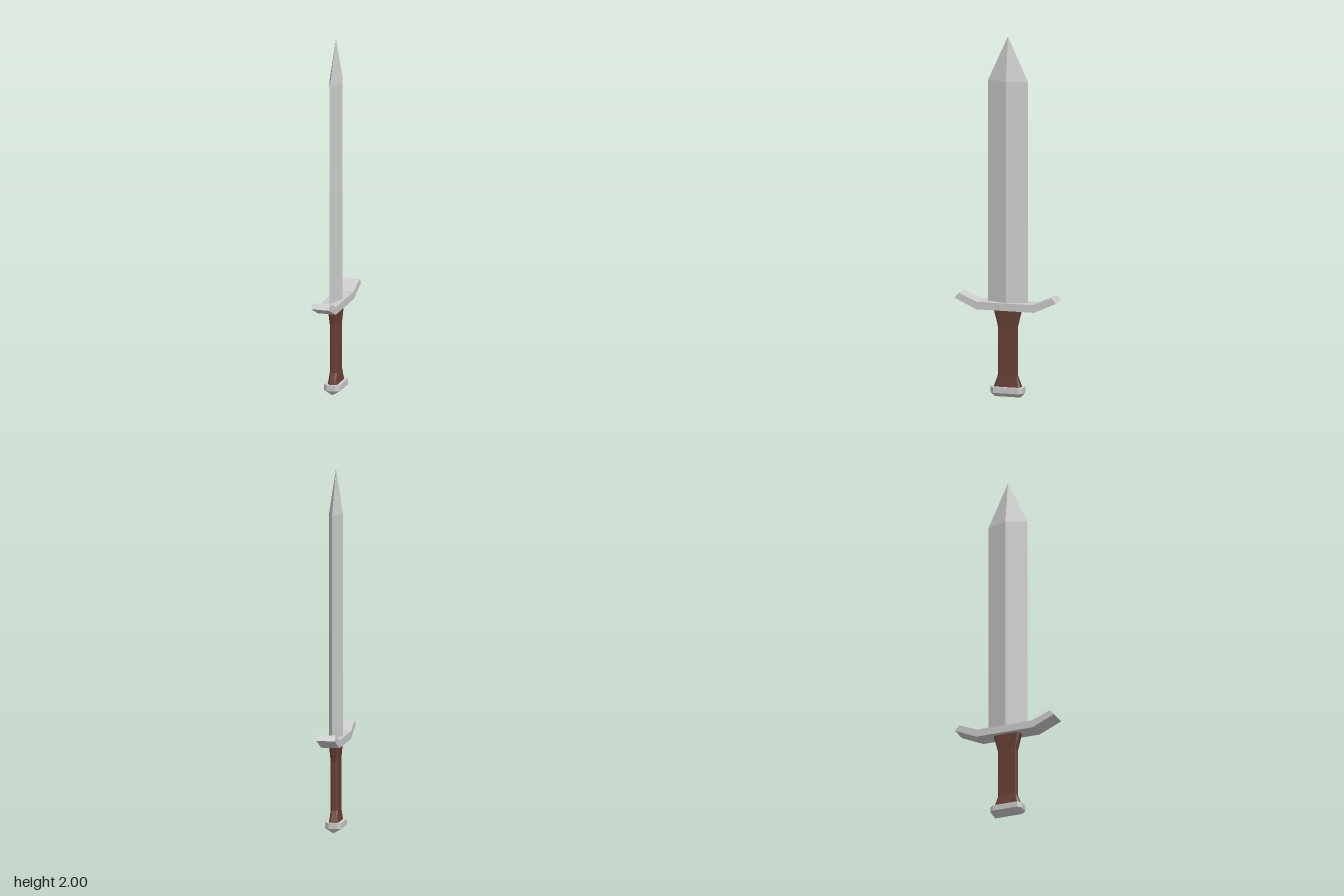
import * as THREE from 'three';

const steel = new THREE.MeshStandardMaterial({ color: 0xcccccc, flatShading: true });
const leather = new THREE.MeshStandardMaterial({ color: 0x694035, flatShading: true });

// Skins a stack of horizontal rings, each { y, pts: [[x, z], ...] }, and caps both ends
function loft(rings) {
  const n = rings[0].pts.length;
  const pos = [];
  const put = (r, i) => {
    const [x, z] = rings[r].pts[i % n];
    pos.push(x, rings[r].y, z);
  };
  for (let r = 0; r < rings.length - 1; r++) {
    for (let i = 0; i < n; i++) {
      put(r, i); put(r + 1, i); put(r, i + 1);
      put(r, i + 1); put(r + 1, i); put(r + 1, i + 1);
    }
  }
  const top = rings.length - 1;
  for (let i = 1; i < n - 1; i++) {
    put(0, 0); put(0, i); put(0, i + 1);
    put(top, 0); put(top, i + 1); put(top, i);
  }
  const g = new THREE.BufferGeometry();
  g.setAttribute('position', new THREE.Float32BufferAttribute(pos, 3));
  g.computeVertexNormals();
  return g;
}

// Diamond cross-section
const diamond = (y, hx, hz) => ({ y, pts: [[hx, 0], [0, hz], [-hx, 0], [0, -hz]] });

// Rectangle with cut corners: half sizes and the cut along x and z
const cutRect = (y, hx, hz, cx, cz) => ({
  y,
  pts: [
    [hx, -hz + cz], [hx, hz - cz], [hx - cx, hz], [-hx + cx, hz],
    [-hx, hz - cz], [-hx, -hz + cz], [-hx + cx, -hz], [hx - cx, -hz],
  ],
});

export function createModel() {
  const group = new THREE.Group();
  const add = (name, geometry, material) => {
    const mesh = new THREE.Mesh(geometry, material);
    mesh.name = name;
    group.add(mesh);
  };

  // Blade: diamond section running to a point
  add('blade', loft([
    diamond(0.51, 0.038, 0.113),
    diamond(1.755, 0.038, 0.113),
    diamond(2, 0.0005, 0.0005),
  ]), steel);

  // Crossguard: bar with upswept ends, extruded across the blade
  const half = [[0.165, 0.488], [0.29, 0.545], [0.266, 0.573], [0.16, 0.53]];
  const outline = [...half, ...half.map(([z, y]) => [-z, y]).reverse()];
  const guard = new THREE.ExtrudeGeometry(
    new THREE.Shape(outline.map(([z, y]) => new THREE.Vector2(z, y))),
    { depth: 0.102, bevelEnabled: false },
  );
  guard.translate(0, 0, -0.051).rotateY(Math.PI / 2);
  add('crossguard', guard, steel);

  // Grip: flared at both ends
  add('grip', loft([
    cutRect(0.06, 0.027, 0.077, 0.012, 0.014),
    cutRect(0.125, 0.02, 0.054, 0.009, 0.006),
    cutRect(0.395, 0.02, 0.054, 0.009, 0.006),
    cutRect(0.49, 0.027, 0.077, 0.012, 0.014),
  ]), leather);

  // Pommel: cut-cornered block narrowing to a ridge underneath
  add('pommel', loft([
    cutRect(0.004, 0.001, 0.074, 0.0005, 0.001),
    cutRect(0.03, 0.046, 0.092, 0.022, 0.02),
    cutRect(0.062, 0.046, 0.092, 0.022, 0.02),
  ]), steel);

  return group;
}
